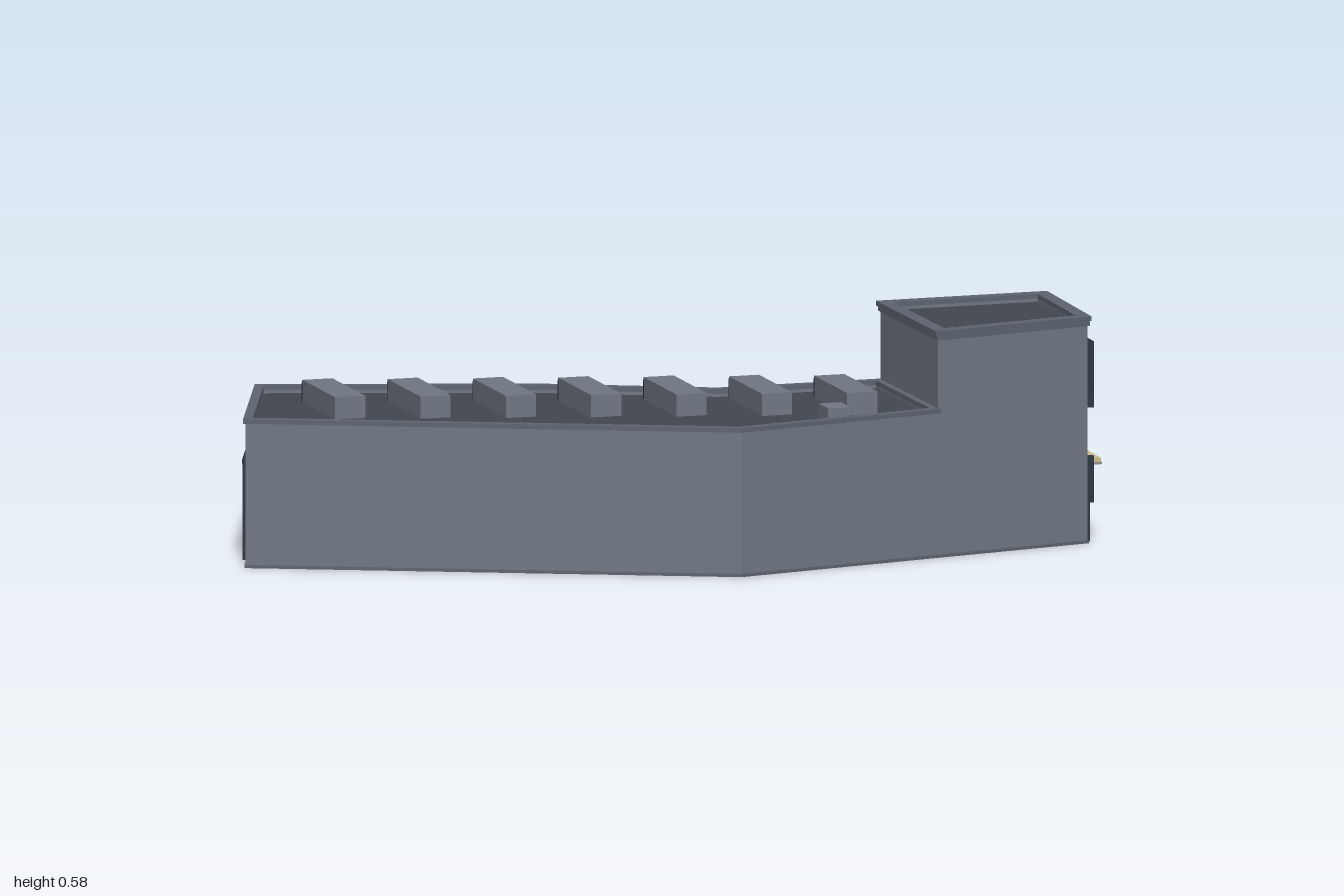
import * as THREE from 'three';

const mat = (color) => new THREE.MeshStandardMaterial({ color });
const M = {
  wall: mat(0x6f7783), trim: mat(0x5d6470), roof: mat(0x42464f), dark: mat(0x24272d),
  frame: mat(0x2b3440), glass: mat(0x1f3d5a), lit: mat(0xcdb98f), metal: mat(0x8d8f8c),
};

// Plan outlines as [x, z], running anticlockwise as seen from above
const HALL = [[-0.18, 0.535], [0.38, 0.67], [0.58, 0.25], [0.19, 0.062], [-0.083, -0.278], [-0.615, -0.783], [-0.993, -0.43]];
const TOWER = [[0.38, 0.67], [0.803, 0.775], [0.978, 0.435], [0.58, 0.25]];

// Move every side of an outline outwards by d (inwards if negative)
function offset(poly, d) {
  const n = poly.length;
  return poly.map((p, i) => {
    const a = poly[(i + n - 1) % n], b = poly[(i + 1) % n];
    const normal = (s, t) => new THREE.Vector2(-(t[1] - s[1]), t[0] - s[0]).normalize();
    const n1 = normal(a, p), n2 = normal(p, b);
    const m = n1.clone().add(n2);
    m.multiplyScalar(d / (1 + n1.dot(n2)));
    return [p[0] + m.x, p[1] + m.y];
  });
}

// Upright prism over an outline, optionally with an opening
function prism(parent, name, poly, y0, y1, material, hole) {
  const pts = (q) => q.map(([x, z]) => new THREE.Vector2(x, -z));
  const shape = new THREE.Shape(pts(poly));
  if (hole) shape.holes.push(new THREE.Path(pts(hole)));
  const g = new THREE.ExtrudeGeometry(shape, { depth: y1 - y0, bevelEnabled: false });
  g.rotateX(-Math.PI / 2);
  const m = new THREE.Mesh(g, material);
  m.position.y = y0;
  m.name = name;
  parent.add(m);
}

function box(parent, name, w, h, d, x, y, z, material) {
  const m = new THREE.Mesh(new THREE.BoxGeometry(w, h, d), material);
  m.position.set(x, y, z);
  m.name = name;
  parent.add(m);
  return m;
}

// Walls, plinth, sunken roof and parapet
function building(name, poly, top, inner, over) {
  const g = new THREE.Group();
  g.name = name;
  const roofY = top - 0.02;
  prism(g, 'plinth', offset(poly, 0.003), 0, 0.008, M.trim);
  prism(g, 'walls', poly, 0.002, roofY - 0.004, M.wall);
  prism(g, 'roof', offset(poly, -0.004), roofY - 0.004, roofY, M.roof);
  prism(g, 'parapet', poly, roofY - 0.004, top - 0.012, M.wall, offset(poly, -inner));
  prism(g, 'coping', offset(poly, over), top - 0.012, top, M.trim, offset(poly, -inner));
  return g;
}

// Group on a wall from a to b: local x along the wall, local z outwards
function wallGroup(name, a, b) {
  const g = new THREE.Group();
  g.name = name;
  g.position.set((a[0] + b[0]) / 2, 0, (a[1] + b[1]) / 2);
  g.rotation.y = Math.atan2(-(b[1] - a[1]), b[0] - a[0]);
  return g;
}

// Rectangular frame around an opening
function frame(parent, w, h, t, d, x, y) {
  for (const s of [-1, 1]) {
    box(parent, 'frameSide', t, h, d, x + s * (w - t) / 2, y, d / 2, M.frame);
    box(parent, 'frameRail', w - 2 * t, t, d, x, y + s * (h - t) / 2, d / 2, M.frame);
  }
}

// Industrial window with glazing bars and a lit lower part
function factoryWindow(name, w, h, x, y, cols, rows, litH) {
  const g = new THREE.Group();
  g.name = name;
  g.position.set(x, y, 0);
  frame(g, w, h, 0.01, 0.018, 0, 0);
  box(g, 'glass', w - 0.02, h - 0.02, 0.006, 0, 0, 0.003, M.glass);
  const lw = w - 0.075;
  box(g, 'litPanes', lw, litH, 0.003, 0, -h / 2 + 0.012 + litH / 2, 0.0068, M.lit);
  for (let i = 1; i < cols; i++)
    box(g, 'verticalBar', 0.004, h - 0.02, 0.008, (i / cols - 0.5) * (w - 0.02), 0, 0.009, M.frame);
  for (let i = 1; i < rows; i++)
    box(g, 'crossBar', w - 0.02, 0.003, 0.007, 0, (i / rows - 0.5) * (h - 0.02), 0.009, M.frame);
  return g;
}

export function createModel() {
  const model = new THREE.Group();
  model.name = 'factoryBuilding';

  // Long bent hall and taller head building
  const hall = building('hall', HALL, 0.383, 0.018, 0.006);
  const tower = building('tower', TOWER, 0.583, 0.026, 0.009);
  prism(tower, 'corniceStep', offset(TOWER, 0.005), 0.558, 0.571, M.trim, offset(TOWER, -0.026));
  model.add(hall, tower);

  // Row of roof lights, glazed at the rear end
  for (let i = 0; i < 7; i++) {
    const s = new THREE.Group();
    s.name = 'skylight';
    s.position.set(-0.66 + i * 0.1633, 0.36, -0.455 + i * 0.1417);
    s.rotation.y = -0.455;
    box(s, 'skylightBody', 0.08, 0.06, 0.275, 0, 0.03, 0, M.wall);
    box(s, 'skylightFrame', 0.08, 0.05, 0.006, 0, 0.028, -0.139, M.frame);
    box(s, 'skylightGlass', 0.066, 0.036, 0.004, 0, 0.031, -0.1415, M.glass);
    hall.add(s);
  }
  box(hall, 'roofHatch', 0.06, 0.042, 0.08, 0.147, 0.381, 0.535, M.wall).rotation.y = -0.455;

  // Loading door in the rear end wall
  const rear = wallGroup('loadingDoor', HALL[5], HALL[6]);
  rear.rotation.y = Math.atan2(-0.353, -0.378) ;
  rear.rotation.y = Math.atan2(HALL[6][1] - HALL[5][1], HALL[5][0] - HALL[6][0]) + Math.PI;
  const out = new THREE.Vector3(0, 0, 1).applyEuler(rear.rotation);
  if (out.x > 0) rear.rotation.y += Math.PI;
  box(rear, 'doorPanel', 0.25, 0.24, 0.008, 0, 0.12, 0.004, M.roof);
  for (let i = 1; i < 6; i++) box(rear, 'doorSlat', 0.25, 0.003, 0.004, 0, i * 0.04, 0.008, M.dark);
  for (const s of [-1, 1]) box(rear, 'doorJamb', 0.012, 0.25, 0.014, s * 0.131, 0.125, 0.007, M.frame);
  box(rear, 'doorLintel', 0.274, 0.012, 0.016, 0, 0.25, 0.008, M.frame);
  model.add(rear);

  // Entrance face of the tower
  const face = wallGroup('entranceFace', TOWER[1], TOWER[2]);
  face.add(factoryWindow('upperWindow', 0.375, 0.17, 0, 0.432, 8, 4, 0.07));
  face.add(factoryWindow('lowerWindow', 0.235, 0.22, 0.073, 0.174, 6, 6, 0.09));
  box(face, 'entranceDoor', 0.07, 0.18, 0.008, -0.124, 0.092, 0.004, M.dark);
  for (const s of [-1, 1]) box(face, 'entranceJamb', 0.008, 0.19, 0.014, -0.124 + s * 0.038, 0.095, 0.007, M.frame);
  box(face, 'entranceLintel', 0.084, 0.008, 0.014, -0.124, 0.188, 0.007, M.frame);
  box(face, 'doorHandle', 0.004, 0.025, 0.006, -0.1, 0.09, 0.01, M.metal);
  box(face, 'canopy', 0.13, 0.012, 0.038, -0.12, 0.21, 0.019, M.lit);
  box(face, 'canopyEdge', 0.132, 0.006, 0.04, -0.12, 0.203, 0.02, M.metal);
  box(face, 'wallBox', 0.012, 0.12, 0.018, -0.182, 0.163, 0.009, M.frame);

  // Lamp and bell beside the door
  const lamp = new THREE.Mesh(new THREE.SphereGeometry(0.01, 12, 8), M.lit);
  lamp.name = 'wallLamp';
  lamp.position.set(-0.052, 0.228, 0.014);
  const bell = new THREE.Mesh(new THREE.CylinderGeometry(0.011, 0.011, 0.014, 14), M.dark);
  bell.name = 'wallBell';
  bell.rotation.x = Math.PI / 2;
  bell.position.set(-0.056, 0.17, 0.007);
  face.add(lamp, bell);

  // Crossed wall anchors under the cornice
  for (const x of [-0.112, 0.106])
    for (const turn of [0.5, 0.5 + Math.PI / 2])
      box(face, 'wallAnchor', 0.026, 0.005, 0.008, x, 0.538, 0.004, M.dark).rotation.z = turn;
  model.add(face);

  return model;
}
